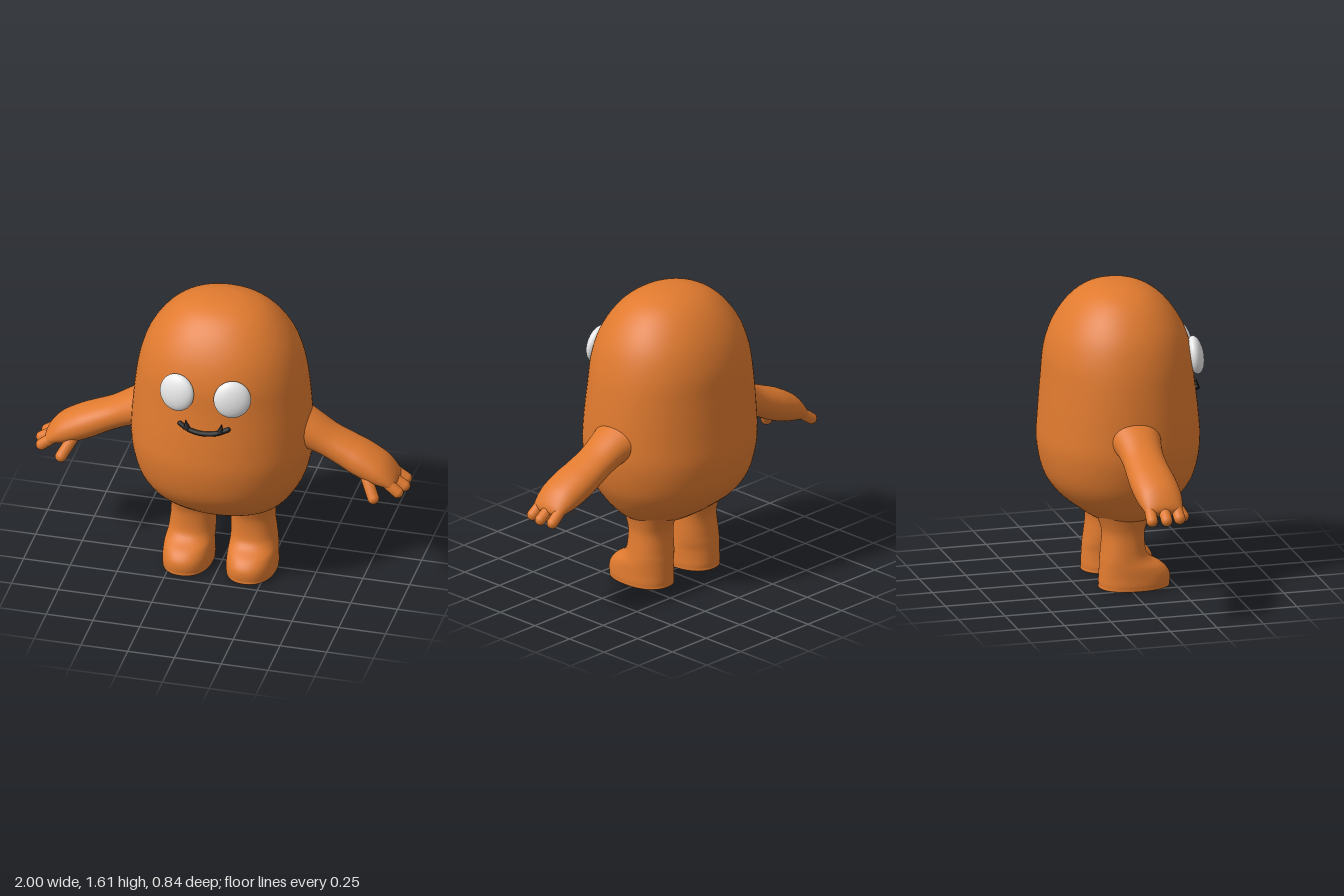
import * as THREE from 'three';

const orange = new THREE.MeshStandardMaterial({ color: 0xe07a2f });
orange.name = 'orange skin';
const white = new THREE.MeshStandardMaterial({ color: 0xe8e8e8 });
white.name = 'eye white';
const dark = new THREE.MeshStandardMaterial({ color: 0x222222 });
dark.name = 'dark mouth';

// Smooth spline through the cross-sections, each [x, y, z, radiusU, radiusZ, tiltDegrees]
function sampleSections(sections, t) {
  const last = sections.length - 1;
  const i = Math.min(Math.floor(t), last - 1), f = t - i;
  const at = (k) => sections[Math.max(0, Math.min(last, k))];
  return sections[0].map((_, c) => {
    const a = at(i - 1)[c], b = at(i)[c], d = at(i + 1)[c], e = at(i + 2)[c];
    return b + 0.5 * f * (d - a + f * (2 * a - 5 * b + 4 * d - e + f * (3 * (b - d) + e - a)));
  });
}

// Closed skin over superelliptic rings; side = -1 mirrors it in x
function loft(sections, { side = 1, power = 2, sides = 56, steps = 6 } = {}) {
  const rows = (sections.length - 1) * steps;
  const positions = [], index = [];
  const bulge = (v) => Math.sign(v) * Math.abs(v) ** (2 / power);
  for (let i = 0; i <= rows; i++) {
    const [x, y, z, ru, rz, tilt] = sampleSections(sections, i / steps);
    const a = THREE.MathUtils.degToRad(tilt * side);
    for (let j = 0; j < sides; j++) {
      const th = (j / sides) * Math.PI * 2;
      const u = Math.max(ru, 0) * bulge(Math.cos(th)), w = Math.max(rz, 0) * bulge(Math.sin(th));
      positions.push(x * side + u * Math.cos(a), y + u * Math.sin(a), z + w);
      if (i === rows) continue;
      const p = i * sides + j, q = i * sides + ((j + 1) % sides);
      index.push(p, p + sides, q, q, p + sides, q + sides);
    }
  }
  const g = new THREE.BufferGeometry();
  g.setAttribute('position', new THREE.Float32BufferAttribute(positions, 3));
  g.setIndex(index);
  g.computeVertexNormals();
  return g;
}

function add(parent, name, geometry, material) {
  const mesh = new THREE.Mesh(geometry, material);
  mesh.name = name;
  parent.add(mesh);
  return mesh;
}

// Rounded finger between two points
function finger(parent, name, from, to, radius) {
  const a = new THREE.Vector3(...from), b = new THREE.Vector3(...to);
  const dir = b.clone().sub(a);
  const mesh = add(parent, name, new THREE.CapsuleGeometry(radius, dir.length(), 8, 18), orange);
  mesh.position.copy(a).add(b).multiplyScalar(0.5);
  mesh.quaternion.setFromUnitVectors(new THREE.Vector3(0, 1, 0), dir.normalize());
}

export function createModel() {
  const model = new THREE.Group();
  model.name = 'roundCreature';

  // Body: height, half width, half depth
  const body = [
    [0.335, 0, 0], [0.34, 0.15, 0.1], [0.375, 0.26, 0.165], [0.42, 0.325, 0.23],
    [0.5, 0.388, 0.325], [0.6, 0.44, 0.387], [0.75, 0.473, 0.417], [0.9, 0.472, 0.411],
    [1.1, 0.455, 0.392], [1.25, 0.43, 0.378], [1.38, 0.385, 0.337], [1.49, 0.31, 0.268],
    [1.565, 0.22, 0.185], [1.605, 0.11, 0.09], [1.614, 0, 0],
  ].map(([y, rx, rz]) => [0, y, y > 1 ? -0.006 : -0.002, rx, rz, 0]);
  add(model, 'body', loft(body, { power: 2.1, sides: 80 }), orange);

  // Leg with foot, from sole to hip
  const leg = [
    [0.17, 0.005, 0.035, 0, 0, 0], [0.17, 0.006, 0.035, 0.115, 0.168, 0],
    [0.17, 0.028, 0.036, 0.131, 0.186, 0], [0.17, 0.08, 0.036, 0.13, 0.185, 0],
    [0.17, 0.125, 0.02, 0.127, 0.166, 0], [0.167, 0.165, -0.01, 0.123, 0.133, 0],
    [0.164, 0.21, -0.021, 0.12, 0.116, 0], [0.16, 0.3, -0.02, 0.115, 0.11, 0],
    [0.16, 0.36, -0.02, 0.121, 0.124, 0], [0.155, 0.42, -0.02, 0.14, 0.15, 0],
  ];

  // Arm, from shoulder to knuckles
  const arm = [
    [0.38, 0.87, -0.025, 0.13, 0.15, -105], [0.47, 0.855, -0.025, 0.095, 0.122, -112],
    [0.565, 0.81, -0.025, 0.081, 0.11, -118], [0.66, 0.765, -0.024, 0.083, 0.114, -120],
    [0.74, 0.727, -0.02, 0.086, 0.12, -121], [0.83, 0.683, -0.015, 0.077, 0.118, -124],
    [0.895, 0.645, -0.012, 0.05, 0.105, -128], [0.925, 0.623, -0.012, 0.026, 0.085, -128],
    [0.93, 0.619, -0.012, 0, 0, -128],
  ];

  for (const side of [1, -1]) {
    const tag = side > 0 ? 'left' : 'right';
    add(model, tag + 'Leg', loft(leg, { side, power: 2.25 }), orange);

    const armGroup = new THREE.Group();
    armGroup.name = tag + 'Arm';
    model.add(armGroup);
    add(armGroup, tag + 'ArmAndPalm', loft(arm, { side, power: 2.1 }), orange);
    [[0.062, 0.952], [-0.012, 0.97], [-0.088, 0.96]].forEach(([z, x], i) => {
      finger(armGroup, tag + 'Finger' + (i + 1), [0.87 * side, 0.66, z * 0.9], [x * side, 0.596, z], 0.03);
    });
    finger(armGroup, tag + 'Thumb', [0.785 * side, 0.66, 0.062], [0.835 * side, 0.572, 0.113], 0.031);

    // Flattened eye set against the curved face
    const eye = add(model, tag + 'Eye', new THREE.SphereGeometry(1, 40, 28), white);
    eye.scale.set(0.097, 0.101, 0.044);
    eye.position.set(0.148 * side, 1.222, 0.373);
    eye.rotation.set(-0.17, 0.25 * side, 0);

    // Small pointed tooth at the mouth corner
    const tooth = add(model, tag + 'Tooth', new THREE.ConeGeometry(0.019, 0.052, 16), dark);
    tooth.position.set(0.093 * side, 1.05, 0.394);
    tooth.rotation.z = -0.15 * side;
  }

  // Smiling mouth with rounded ends
  const smile = [[-0.128, 1.042, 0.384], [-0.07, 1.018, 0.398], [0, 1.01, 0.404],
    [0.07, 1.018, 0.398], [0.128, 1.042, 0.384]].map((p) => new THREE.Vector3(...p));
  add(model, 'mouth', new THREE.TubeGeometry(new THREE.CatmullRomCurve3(smile), 40, 0.013, 12), dark);
  for (const p of [smile[0], smile[4]]) {
    add(model, 'mouthCorner', new THREE.SphereGeometry(0.0135, 16, 12), dark).position.copy(p);
  }
  return model;
}
